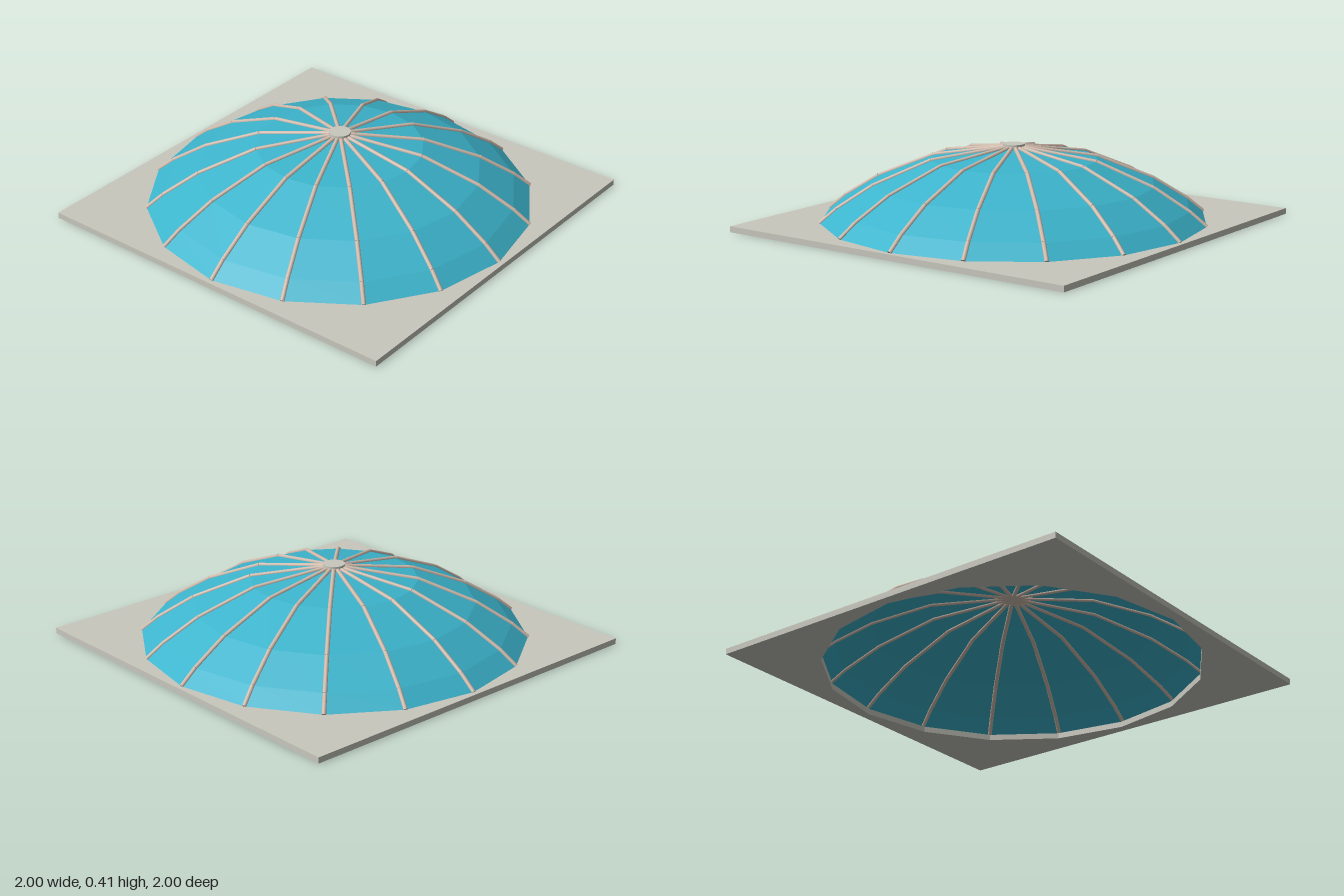
import * as THREE from 'three';

const SIDES = 16;

// Shell profile as [radius, height], rim to apex
const PROFILE = [[0.975, 0.03], [0.89, 0.1], [0.71, 0.212], [0.42, 0.331], [0, 0.395]];

const material = (name, color, options = {}) => {
  const m = new THREE.MeshStandardMaterial({ color, ...options });
  m.name = name;
  return m;
};

function addMesh(parent, name, geometry, mat) {
  const mesh = new THREE.Mesh(geometry, mat);
  mesh.name = name;
  parent.add(mesh);
  return mesh;
}

// Round bar between two points
function bar(parent, name, a, b, radius, mat) {
  const dir = b.clone().sub(a);
  const mesh = addMesh(parent, name, new THREE.CylinderGeometry(radius, radius, dir.length(), 8), mat);
  mesh.position.copy(a).add(b).multiplyScalar(0.5);
  mesh.quaternion.setFromUnitVectors(new THREE.Vector3(0, 1, 0), dir.normalize());
}

export function createModel() {
  const model = new THREE.Group();
  model.name = 'ribbedDome';
  const stone = material('stone', 0xc8c8be);
  const glass = material('blueGlass', 0x3cb4cc, { side: THREE.DoubleSide, flatShading: true });
  const metal = material('ribMetal', 0xd0bcae);

  // Square base plate with a sixteen-sided opening
  const plate = new THREE.Shape([
    new THREE.Vector2(-1, -1), new THREE.Vector2(1, -1),
    new THREE.Vector2(1, 1), new THREE.Vector2(-1, 1),
  ]);
  const opening = [];
  for (let i = 0; i < SIDES; i++) {
    const a = -i * Math.PI * 2 / SIDES;
    opening.push(new THREE.Vector2(Math.cos(a) * 0.95, Math.sin(a) * 0.95));
  }
  plate.holes.push(new THREE.Path(opening));
  const plateGeometry = new THREE.ExtrudeGeometry(plate, { depth: 0.03, bevelEnabled: false });
  plateGeometry.rotateX(-Math.PI / 2);
  addMesh(model, 'basePlate', plateGeometry, stone);

  // Faceted shallow shell
  const profile = PROFILE.map(([r, y]) => new THREE.Vector2(r, y));
  addMesh(model, 'domeShell', new THREE.LatheGeometry(profile, SIDES), glass);

  // Ribs along every facet edge
  for (let i = 0; i < SIDES; i++) {
    const rib = new THREE.Group();
    rib.name = 'rib';
    rib.rotation.y = i * Math.PI * 2 / SIDES;
    for (let j = 0; j < PROFILE.length - 1; j++) {
      const [a, b] = [PROFILE[j], PROFILE[j + 1]].map(([r, y]) => new THREE.Vector3(r, y, 0));
      bar(rib, 'ribSegment', a, b, 0.011, metal);
    }
    model.add(rib);
  }

  // Hub disc at the crown
  const hub = addMesh(model, 'crownHub', new THREE.CylinderGeometry(0.055, 0.055, 0.024, SIDES), stone);
  hub.position.y = 0.394;

  return model;
}
